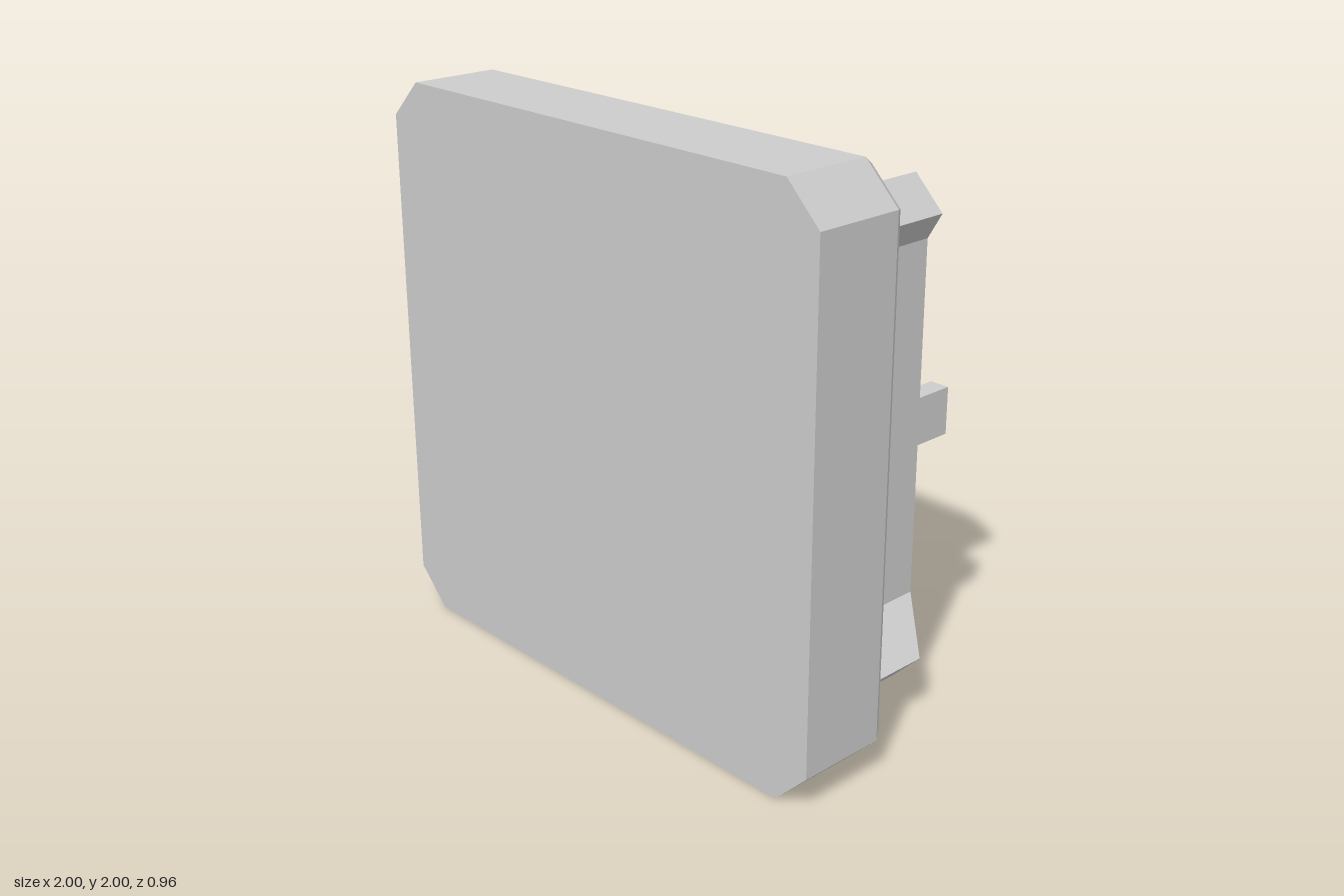
import * as THREE from 'three';
import { ConvexGeometry } from 'three/addons/geometries/ConvexGeometry.js';

const material = new THREE.MeshStandardMaterial({ color: 0xcccccc, flatShading: true });

// Corners of a square with cut corners: half width h, cut length c
function cutSquare(h, c) {
  const k = h - c;
  return [[h, -k], [h, k], [k, h], [-k, h], [-h, k], [-h, -k], [-k, -h], [k, -h]]
    .map(([x, y]) => new THREE.Vector2(x, y));
}

function add(parent, name, geometry) {
  const mesh = new THREE.Mesh(geometry, material);
  mesh.name = name;
  parent.add(mesh);
  return mesh;
}

// Straight extrusion between two depths
function slab(shape, zBack, zFront) {
  const geometry = new THREE.ExtrudeGeometry(shape, { depth: zFront - zBack, bevelEnabled: false });
  return geometry.translate(0, 0, zBack);
}

const at = (points, z) => points.map((p) => new THREE.Vector3(p.x, p.y, z));

export function createModel() {
  const group = new THREE.Group();
  group.name = 'squareCap';

  const body = new THREE.Group();
  body.name = 'body';
  body.position.y = 1;
  group.add(body);

  // Front plate with a small bevel round its back edge
  const outline = cutSquare(1, 0.13);
  add(body, 'frontPlate', new ConvexGeometry([
    ...at(outline, 0.48), ...at(outline, 0.155), ...at(cutSquare(0.97, 0.112), 0.112),
  ]));

  // Hollow collar behind the plate
  const rim = new THREE.Shape(cutSquare(0.713, 0.087));
  const opening = cutSquare(0.64, 0.085);
  rim.holes.push(new THREE.Path(opening));
  add(body, 'collar', slab(rim, -0.335, 0.112));
  add(body, 'collarFloor', slab(new THREE.Shape(opening), 0.015, 0.112));

  // Corner fins and middle tabs, one of each per quarter turn
  for (let i = 0; i < 4; i++) {
    const quarter = new THREE.Group();
    quarter.name = 'quarter' + (i + 1);
    quarter.rotation.z = i * Math.PI / 2;
    body.add(quarter);

    const root = [new THREE.Vector2(0.713, 0.626), new THREE.Vector2(0.626, 0.713)];
    const edge = [new THREE.Vector2(0.875, 0.765), new THREE.Vector2(0.765, 0.875)];
    add(quarter, 'cornerFin', new ConvexGeometry([
      ...at(root, 0.112), ...at(root, -0.335), ...at(edge, 0.112), ...at(edge, -0.2),
    ]));

    const tab = add(quarter, 'tab', new THREE.BoxGeometry(0.073, 0.168, 0.145));
    tab.position.set(0.6765, 0, -0.4075);
  }
  return group;
}
